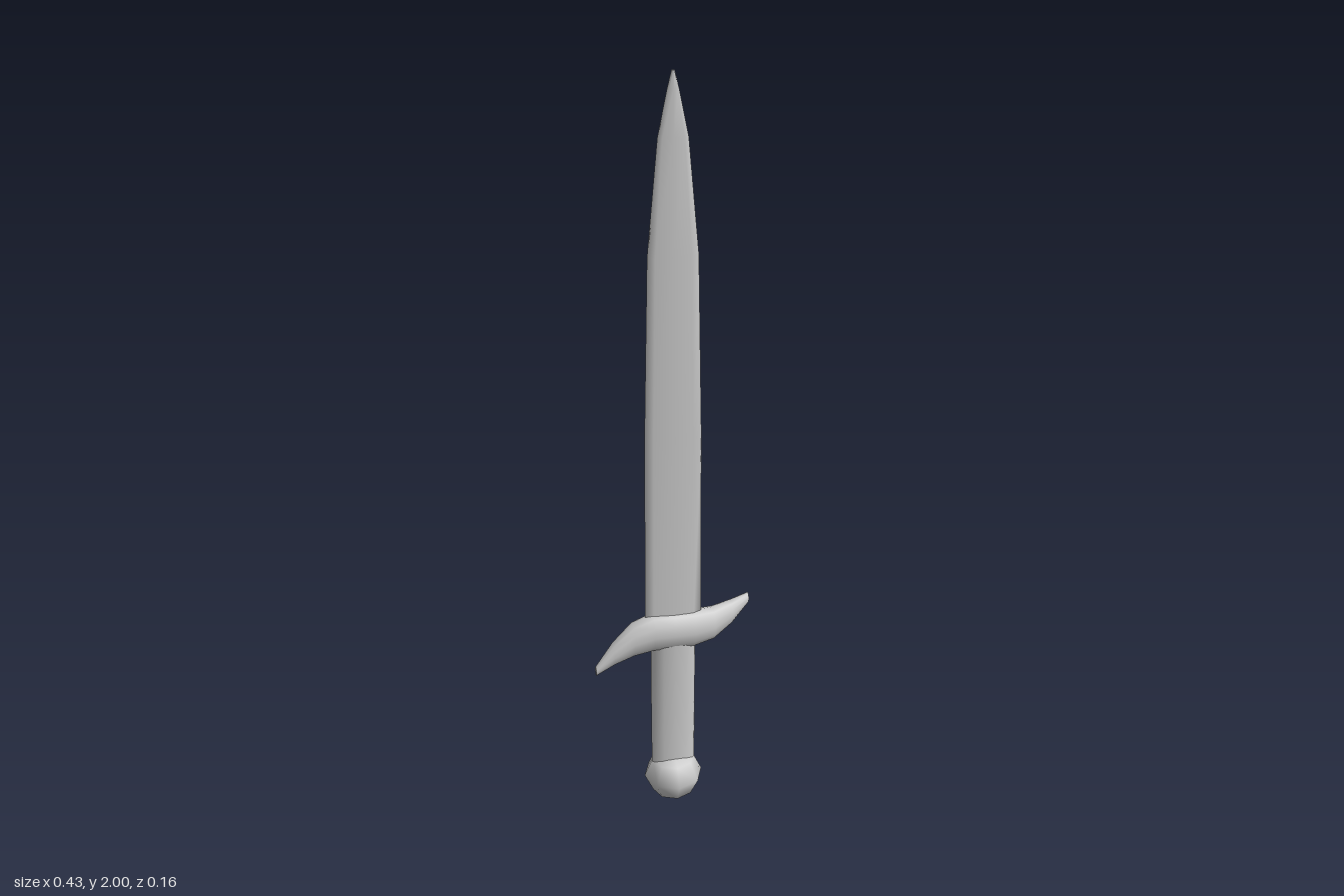
import * as THREE from 'three';

const material = new THREE.MeshStandardMaterial({ color: 0xcccccc });

// Skin a closed tube through rings of points; flat caps keep their own vertices.
function loft(name, rings) {
  const n = rings[0].length;
  const pos = [], idx = [];
  rings.forEach(r => r.forEach(p => pos.push(...p)));
  for (let i = 0; i < rings.length - 1; i++) {
    for (let j = 0; j < n; j++) {
      const a = i * n + j, b = i * n + (j + 1) % n;
      idx.push(a, a + n, b, b, a + n, b + n);
    }
  }
  [rings[0], rings[rings.length - 1]].forEach((r, end) => {
    const base = pos.length / 3;
    r.forEach(p => pos.push(...p));
    for (let j = 1; j < n - 1; j++) {
      if (end) idx.push(base, base + j + 1, base + j);
      else idx.push(base, base + j, base + j + 1);
    }
  });
  const geo = new THREE.BufferGeometry();
  geo.setAttribute('position', new THREE.Float32BufferAttribute(pos, 3));
  geo.setIndex(idx);
  geo.computeVertexNormals();
  const mesh = new THREE.Mesh(geo, material);
  mesh.name = name;
  return mesh;
}

// Ring of n points, each placed by the cosine and sine of its angle.
const ring = (n, place) => Array.from({ length: n }, (_, j) => {
  const a = (j / n) * Math.PI * 2;
  return place(Math.cos(a), Math.sin(a));
});

export function createModel() {
  const group = new THREE.Group();

  // Blade: thin lens section tapering to a point [y, half width, half thickness]
  const blade = [
    [0.54, 0.076, 0.010], [1.1, 0.073, 0.010], [1.57, 0.063, 0.009],
    [1.85, 0.037, 0.008], [1.96, 0.014, 0.007], [2.0, 0.004, 0.006],
  ].map(([y, w, t]) => ring(8, (c, s) => [c * w, y, s * t]));
  group.add(loft('blade', blade));

  // Crossguard: S-swept horn [x, bottom, top, back z, front z]
  const guard = [
    [-0.215, 0.440, 0.465, 0.012, 0.033],
    [-0.165, 0.461, 0.525, -0.013, 0.035],
    [-0.110, 0.477, 0.574, -0.032, 0.037],
    [-0.055, 0.485, 0.593, -0.039, 0.038],
    [0, 0.483, 0.592, -0.040, 0.038],
    [0.055, 0.484, 0.590, -0.040, 0.036],
    [0.110, 0.496, 0.590, -0.040, 0.028],
    [0.165, 0.530, 0.597, -0.043, 0.006],
    [0.215, 0.575, 0.605, -0.046, -0.023],
  ].map(([x, y0, y1, z0, z1]) => ring(12, (c, s) =>
    [x, (y0 + y1) / 2 + s * (y1 - y0) / 2, (z0 + z1) / 2 + c * (z1 - z0) / 2]));
  group.add(loft('crossguard', guard));

  // Grip: oval handle
  const grip = [[0.1, 0.06], [0.3, 0.061], [0.53, 0.06]]
    .map(([y, w]) => ring(12, (c, s) => [c * w, y, s * 0.028]));
  group.add(loft('grip', grip));

  // Pommel: coarse rounded knob
  const pommel = new THREE.Mesh(new THREE.SphereGeometry(1, 8, 4), material);
  pommel.name = 'pommel';
  pommel.scale.set(0.081, 0.0725, 0.081);
  pommel.position.y = 0.0725;
  group.add(pommel);

  return group;
}
